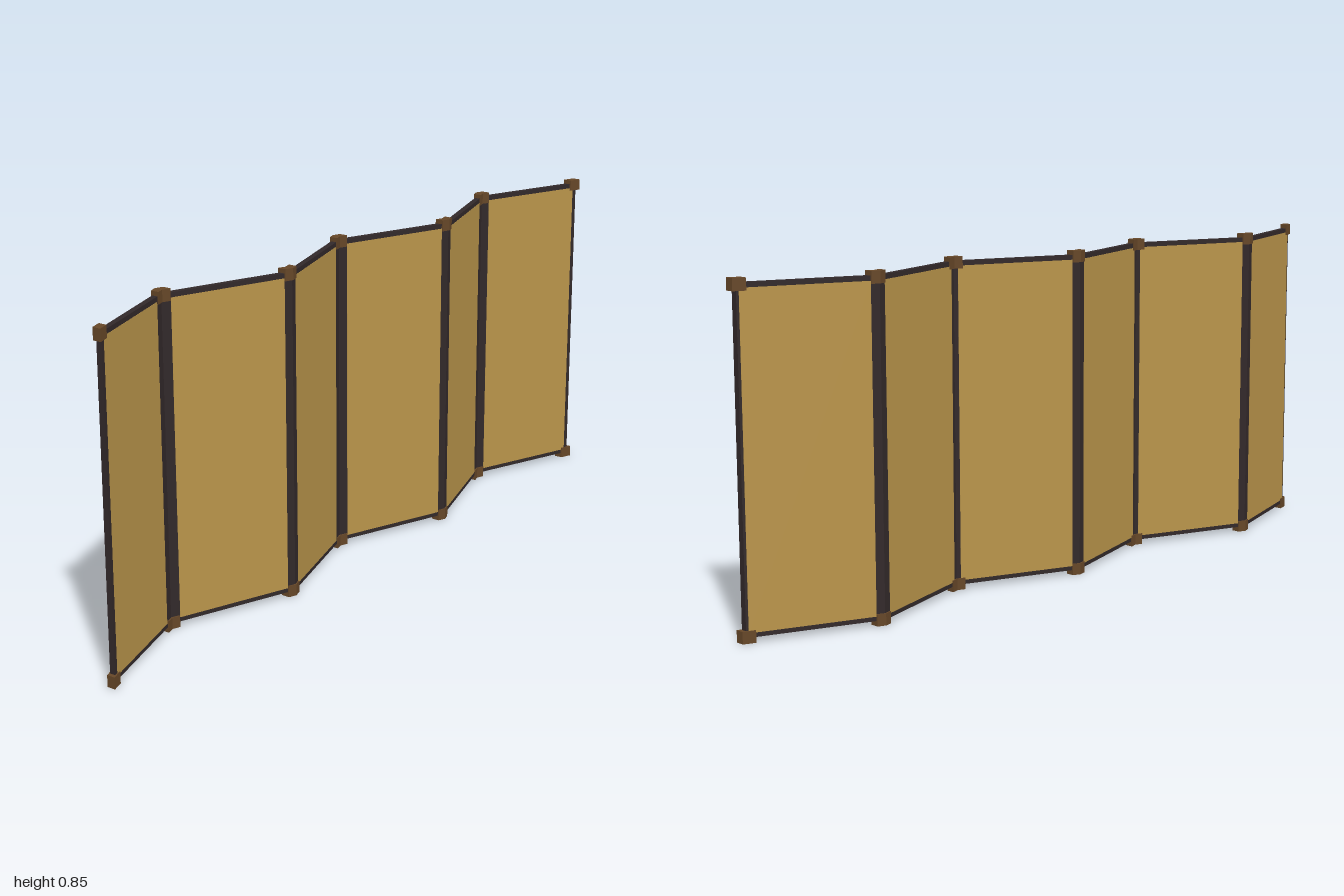
import * as THREE from 'three';

const gold = new THREE.MeshStandardMaterial({ color: 0xba954b });
gold.name = 'gold leaf';
const dark = new THREE.MeshStandardMaterial({ color: 0x32292a });
dark.name = 'dark lacquer';
const brown = new THREE.MeshStandardMaterial({ color: 0x664728 });
brown.name = 'aged brass';

// Zigzag fold line in plan: [x, z]
const FOLDS = [
  [-0.99, 0.055], [-0.675, -0.058], [-0.333, 0.055], [0, -0.058],
  [0.333, 0.055], [0.665, -0.058], [0.99, 0.055],
];
const BOTTOM = 0.013, TOP = 0.842;

// Upright slab from x0 to x1, sheared along the fold so neighbours meet in a mitre
function slab(name, material, a, b, x0, x1, y0, y1, thickness, offset = 0) {
  const geo = new THREE.BoxGeometry(x1 - x0, y1 - y0, thickness);
  geo.translate((x0 + x1) / 2, (y0 + y1) / 2, offset);
  const slope = (b[1] - a[1]) / (b[0] - a[0]);
  const p = geo.attributes.position;
  for (let i = 0; i < p.count; i++) {
    p.setZ(i, p.getZ(i) + a[1] + slope * (p.getX(i) - a[0]));
  }
  geo.computeVertexNormals();
  const mesh = new THREE.Mesh(geo, material);
  mesh.name = name;
  return mesh;
}

// Visible frame width beside fold i on the front and on the back
function border(i, front) {
  if (i === 0 || i === FOLDS.length - 1) return front ? 0.011 : 0.006;
  if (FOLDS[i][1] < 0) return front ? 0.024 : 0.021;
  return front ? 0.021 : 0.011;
}

export function createModel() {
  const screen = new THREE.Group();
  screen.name = 'foldingScreen';

  for (let i = 0; i < FOLDS.length - 1; i++) {
    const a = FOLDS[i], b = FOLDS[i + 1];
    const panel = new THREE.Group();
    panel.name = 'panel' + (i + 1);

    // Lacquered frame board
    panel.add(slab('frame', dark, a, b, a[0], b[0], BOTTOM, TOP, 0.016));

    // Gold sheets on both faces
    for (const front of [true, false]) {
      panel.add(slab(front ? 'frontSheet' : 'backSheet', gold, a, b,
        a[0] + border(i, front), b[0] - border(i + 1, front),
        BOTTOM + 0.011, TOP - 0.012, 0.002, front ? 0.0076 : -0.0076));
    }

    // Metal corner caps wrapping the frame at each fold
    const left = i === 0 ? -1 : a[0];
    const right = i === FOLDS.length - 2 ? 1 : b[0];
    for (const [y0, y1] of [[0, 0.03], [0.823, 0.853]]) {
      panel.add(slab('cornerCap', brown, a, b, left, a[0] + 0.021, y0, y1, 0.023));
      panel.add(slab('cornerCap', brown, a, b, b[0] - 0.021, right, y0, y1, 0.023));
    }
    screen.add(panel);
  }
  return screen;
}
